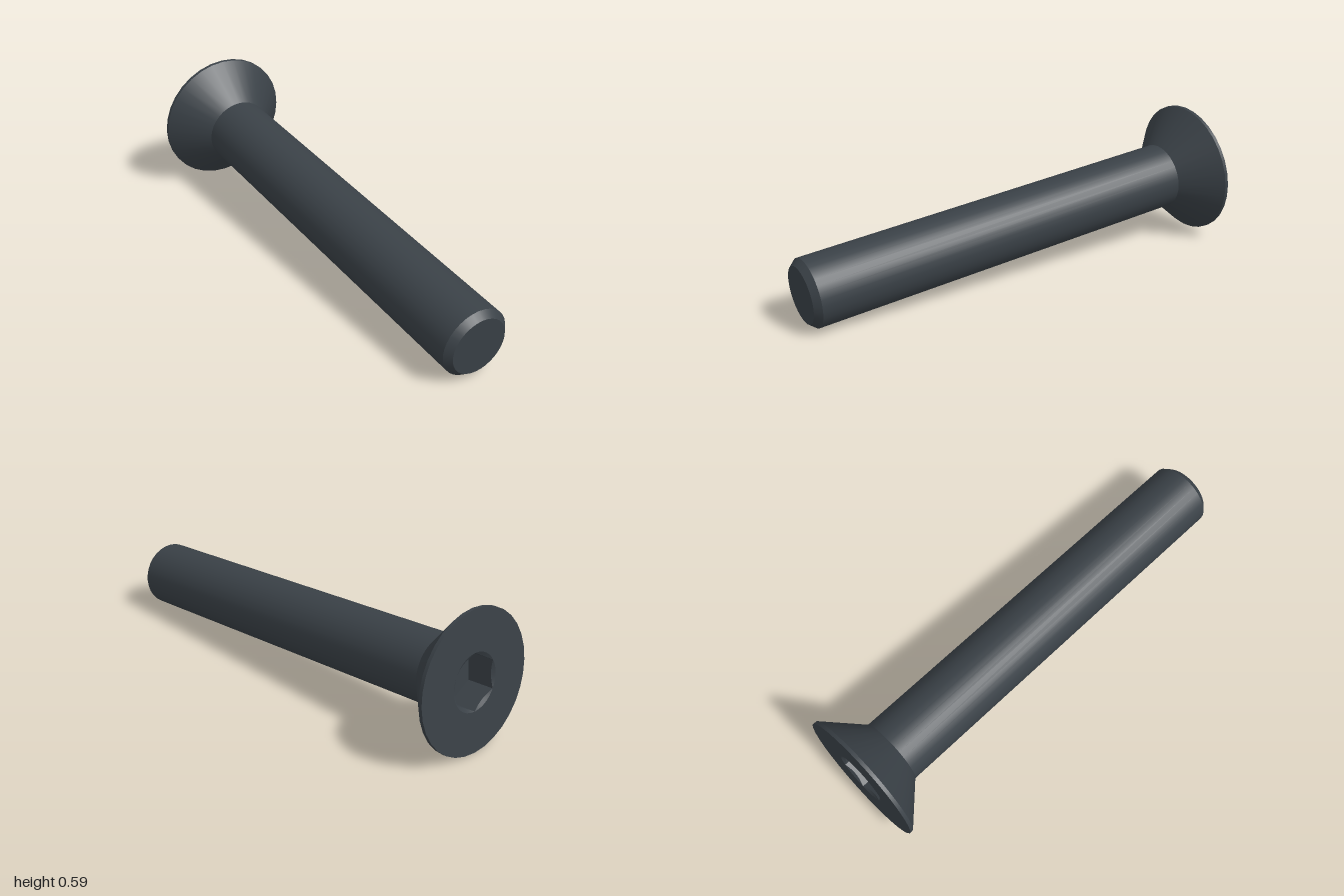
import * as THREE from 'three';

const SEG = 32;
const LENGTH = 1.955, HEAD_R = 0.295, SHAFT_R = 0.146, TIP_R = 0.1215;
const SOCKET_R = 0.12, SOCKET_DEPTH = 0.12;

// Radius of the hexagon at angle a (corner at a = 0)
function hexRadius(a) {
  const third = Math.PI / 3;
  const local = ((a % third) + third) % third - third / 2;
  return SOCKET_R * Math.cos(third / 2) / Math.cos(local);
}

// Inward-facing band between two rings, each given as angle -> [radius, height]
function innerBand(ringA, ringB, n) {
  const pos = [];
  const at = (ring, i) => {
    const a = (i % n) / n * Math.PI * 2;
    const [r, y] = ring(a);
    return [r * Math.cos(a), y, r * Math.sin(a)];
  };
  for (let i = 0; i < n; i++) {
    const a0 = at(ringA, i), a1 = at(ringA, i + 1), b0 = at(ringB, i), b1 = at(ringB, i + 1);
    pos.push(...a0, ...a1, ...b0, ...a1, ...b1, ...b0);
  }
  const g = new THREE.BufferGeometry();
  g.setAttribute('position', new THREE.Float32BufferAttribute(pos, 3));
  g.computeVertexNormals();
  return g;
}

export function createModel() {
  const steel = new THREE.MeshStandardMaterial({ color: 0x3a4147 });
  steel.name = 'dark steel';

  const bolt = new THREE.Group();
  bolt.name = 'countersunkBolt';
  const add = (name, geometry) => {
    const mesh = new THREE.Mesh(geometry, steel);
    mesh.name = name;
    bolt.add(mesh);
  };

  // Turned surfaces, one per segment so that the edges between them stay sharp
  const turned = [
    ['headFace', SOCKET_R, 0, HEAD_R, 0],
    ['headRim', HEAD_R, 0, HEAD_R, 0.015],
    ['headCone', HEAD_R, 0.015, SHAFT_R, 0.164],
    ['shaft', SHAFT_R, 0.164, SHAFT_R, LENGTH - 0.028],
    ['tipChamfer', SHAFT_R, LENGTH - 0.028, TIP_R, LENGTH],
    ['tipFace', TIP_R, LENGTH, 0, LENGTH],
  ];
  for (const [name, r0, y0, r1, y1] of turned) {
    add(name, new THREE.LatheGeometry([new THREE.Vector2(r0, y0), new THREE.Vector2(r1, y1)], SEG));
  }

  // Hex socket: round lead-in, six walls and a flat floor
  const lip = (a) => [hexRadius(a), (SOCKET_R - hexRadius(a)) * 0.58];
  add('socketLeadIn', innerBand(() => [SOCKET_R, 0], lip, 96));
  add('socketWalls', innerBand(lip, (a) => [hexRadius(a), SOCKET_DEPTH], 96));
  const floor = new THREE.CircleGeometry(SOCKET_R, 6);
  floor.rotateX(Math.PI / 2);
  floor.translate(0, SOCKET_DEPTH, 0);
  add('socketFloor', floor);

  // Lay the bolt down along its tilted axis, one socket corner pointing up
  const head = new THREE.Vector3(-0.936, 0.294, -0.129);
  const tip = new THREE.Vector3(0.972, 0.147, 0.273);
  const axis = tip.sub(head).normalize();
  const up = new THREE.Vector3(0, 1, 0).addScaledVector(axis, -axis.y).normalize();
  const side = new THREE.Vector3().crossVectors(up, axis);
  bolt.quaternion.setFromRotationMatrix(new THREE.Matrix4().makeBasis(up, axis, side));
  bolt.position.copy(head);

  const model = new THREE.Group();
  model.name = 'model';
  model.add(bolt);
  return model;
}
